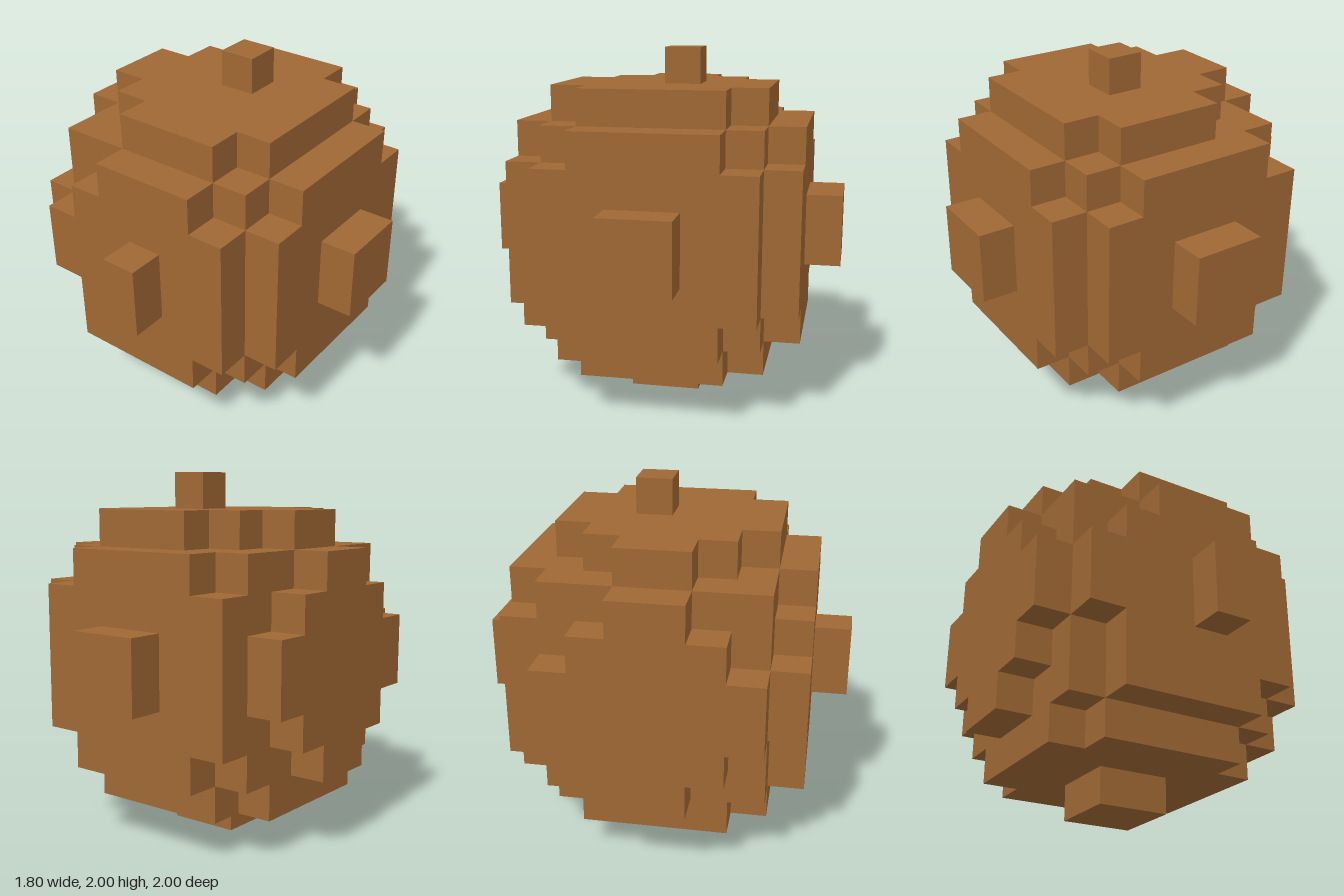
import * as THREE from 'three';

// Corner outlines for one quadrant, listed anticlockwise from the +x axis side
const notch = [[0.6, 0.4], [0.4, 0.4], [0.4, 0.6]];
const stair = [[0.6, 0.2], [0.4, 0.2], [0.4, 0.4], [0.2, 0.4], [0.2, 0.6]];
const slot = [[0.6, 0.2], [0.4, 0.2], [0.4, 0.6]];

// Stepped plate outline from its corners: +x+y, -x+y, -x-y, +x-y
function plateShape(corners) {
  const signs = [[1, 1], [-1, 1], [-1, -1], [1, -1]];
  const pts = [];
  corners.forEach((corner, i) => {
    const [sx, sy] = signs[i];
    const run = corner.map(([x, y]) => new THREE.Vector2(x * sx, y * sy));
    if (sx * sy < 0) run.reverse();
    pts.push(...run);
  });
  return new THREE.Shape(pts);
}

export function createModel() {
  const model = new THREE.Group();
  model.name = 'blockBall';
  const brown = new THREE.MeshStandardMaterial({ color: 0xa06834 });
  brown.name = 'brown';

  const ball = new THREE.Group();
  ball.name = 'ball';
  ball.position.set(-0.1, 1, 0);
  model.add(ball);

  // Central cube
  const core = new THREE.Mesh(new THREE.BoxGeometry(1.2, 1.2, 1.2), brown);
  core.name = 'core';
  ball.add(core);

  // Six sides; knob = [centre x, centre y, width, height] on the plate
  const H = Math.PI / 2;
  const allNotch = [notch, notch, notch, notch];
  const sides = [
    { name: 'front', rot: [0, 0], corners: [notch, stair, slot, notch], knob: [0.1, 0, 0.2, 0.4] },
    { name: 'back', rot: [0, 2 * H], corners: allNotch, knob: [0, 0, 0.4, 0.4] },
    { name: 'left', rot: [0, H], corners: allNotch, knob: [0, 0, 0.4, 0.4] },
    { name: 'right', rot: [0, -H], corners: [stair, stair, stair, stair] },
    { name: 'top', rot: [-H, 0], corners: [notch, stair, stair, notch], knob: [0.1, 0.1, 0.2, 0.2] },
    { name: 'bottom', rot: [H, 0], corners: allNotch, knob: [0, 0, 0.4, 0.4] },
  ];

  for (const { name, rot, corners, knob } of sides) {
    const side = new THREE.Group();
    side.name = name + 'Side';
    side.rotation.set(rot[0], rot[1], 0);
    ball.add(side);

    // Stepped plate on the cube face
    const plate = new THREE.Mesh(
      new THREE.ExtrudeGeometry(plateShape(corners), { depth: 0.2, bevelEnabled: false }), brown);
    plate.name = name + 'Plate';
    plate.position.z = 0.6;
    side.add(plate);

    // Small block standing out of the plate
    if (knob) {
      const [x, y, w, h] = knob;
      const block = new THREE.Mesh(new THREE.BoxGeometry(w, h, 0.2), brown);
      block.name = name + 'Knob';
      block.position.set(x, y, 0.9);
      side.add(block);
    }
  }
  return model;
}
